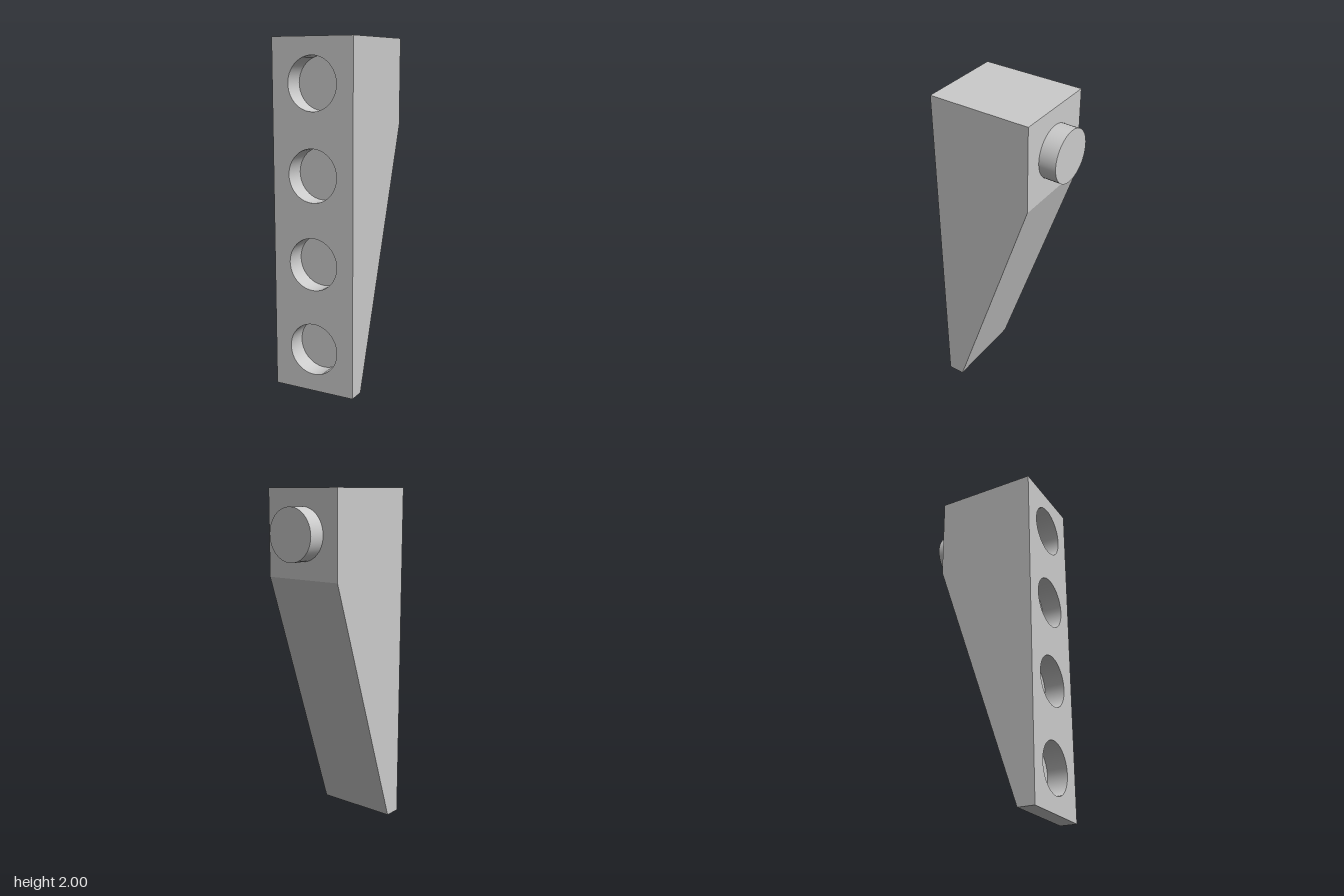
import * as THREE from 'three';

const W = 0.5, H = 2, FRONT = 0.35, BACK = -0.25;
const R = 0.15, HOLE_DEPTH = 0.12, STUD = 0.1, SEG = 48;
const HOLE_YS = [0.25, 0.75, 1.25, 1.75];

// Side profile extruded across the width, with the front left open for the holed plate
function bodyGeometry() {
  const profile = new THREE.Shape([
    [FRONT, 0], [FRONT, H], [BACK, H], [BACK, 1.5], [0.25, 0],
  ].map(([z, y]) => new THREE.Vector2(z, y)));
  const geo = new THREE.ExtrudeGeometry(profile, { depth: W, bevelEnabled: false });
  geo.rotateY(-Math.PI / 2).translate(W / 2, 0, 0);
  const p = geo.attributes.position, kept = [];
  for (let i = 0; i < p.count; i += 3) {
    const isFront = [0, 1, 2].every((k) => Math.abs(p.getZ(i + k) - FRONT) < 1e-4);
    if (!isFront) kept.push(i, i + 1, i + 2);
  }
  geo.setIndex(kept);
  geo.clearGroups();
  return geo;
}

// Front plate pierced by the round sockets
function frontGeometry() {
  const w = W / 2;
  const face = new THREE.Shape([[-w, 0], [w, 0], [w, H], [-w, H]]
    .map(([x, y]) => new THREE.Vector2(x, y)));
  for (const y of HOLE_YS) {
    face.holes.push(new THREE.Path().absarc(0, y, R, 0, Math.PI * 2, true));
  }
  return new THREE.ShapeGeometry(face, SEG / 2).translate(0, 0, FRONT);
}

export function createModel() {
  const group = new THREE.Group();
  const grey = new THREE.MeshStandardMaterial({ color: 0xcccccc });
  const inner = new THREE.MeshStandardMaterial({ color: 0xcccccc, side: THREE.BackSide });

  const add = (name, geo, mat = grey, parent = group) => {
    const mesh = new THREE.Mesh(geo, mat);
    mesh.name = name;
    parent.add(mesh);
    return mesh;
  };

  add('taperedBody', bodyGeometry());
  add('frontPlate', frontGeometry());

  // Blind sockets: an inward-facing wall and a flat floor
  const wall = new THREE.CylinderGeometry(R, R, HOLE_DEPTH, SEG, 1, true).rotateX(Math.PI / 2);
  const floor = new THREE.CircleGeometry(R, SEG);
  for (const y of HOLE_YS) {
    const socket = new THREE.Group();
    socket.name = 'socket';
    socket.position.set(0, y, FRONT - HOLE_DEPTH);
    add('socketWall', wall, inner, socket).position.z = HOLE_DEPTH / 2;
    add('socketFloor', floor, grey, socket);
    group.add(socket);
  }

  // Round stud on the upper back
  const stud = new THREE.CylinderGeometry(R, R, STUD, SEG).rotateX(Math.PI / 2);
  add('stud', stud).position.set(0, 1.75, BACK - STUD / 2);

  return group;
}
